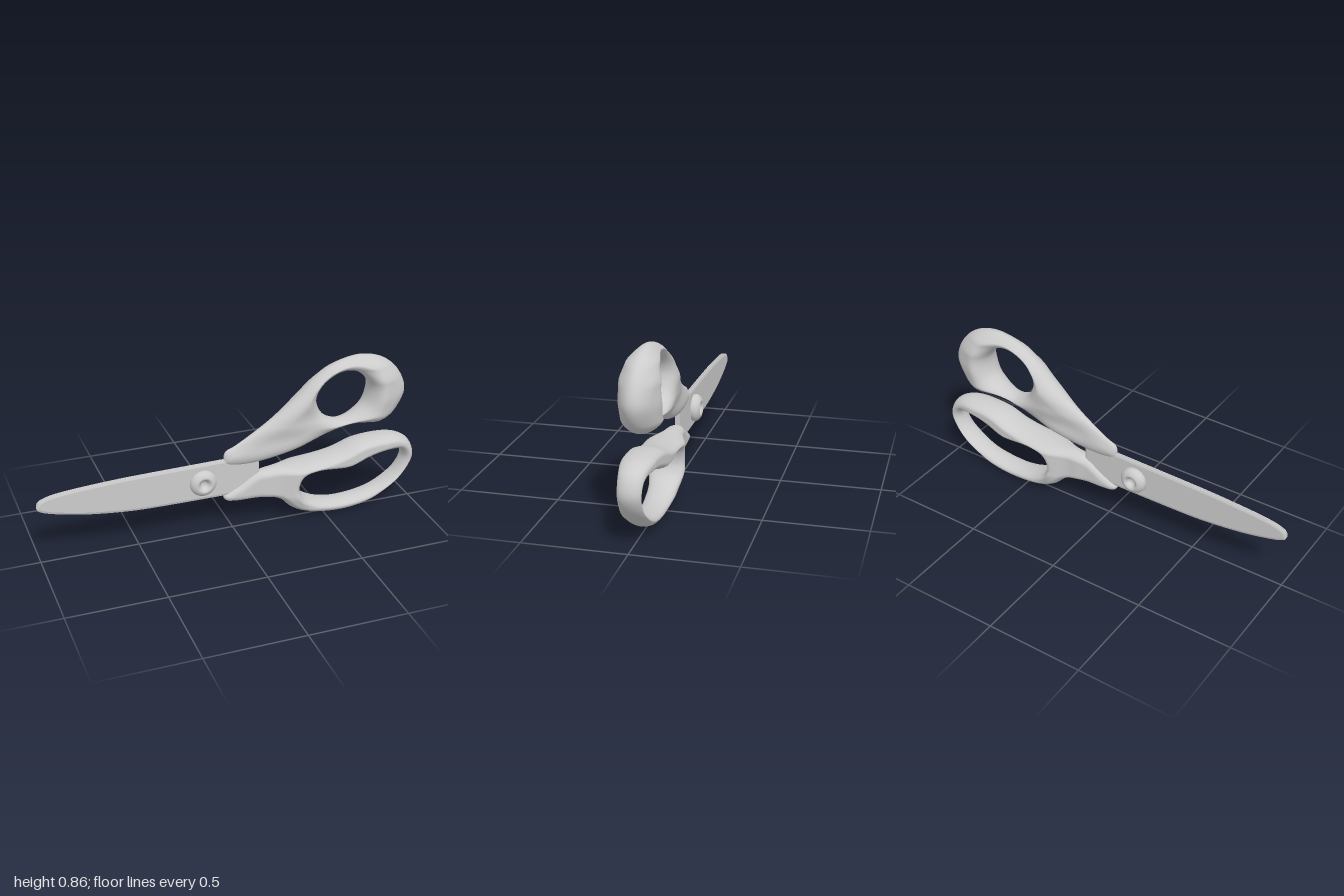
import * as THREE from 'three';

const material = new THREE.MeshStandardMaterial({ color: 0xcccccc, roughness: 0.6 });

const closedCurve = (points) =>
  new THREE.CatmullRomCurve3(points.map(([x, y]) => new THREE.Vector3(x, y, 0)), true, 'centripetal');

// Lookup in [position, value] pairs, eased between the pairs
function lookup(table, x) {
  if (x <= table[0][0]) return table[0][1];
  for (let i = 1; i < table.length; i++) {
    const [x0, v0] = table[i - 1], [x1, v1] = table[i];
    if (x <= x1) return v0 + (v1 - v0) * THREE.MathUtils.smoothstep(x, x0, x1);
  }
  return table[table.length - 1][1];
}

// Distance from a point to a closed polyline
function edgeDistance(x, y, loop) {
  let best = Infinity;
  for (let i = 0; i < loop.length; i++) {
    const a = loop[i], b = loop[(i + 1) % loop.length];
    const dx = b.x - a.x, dy = b.y - a.y;
    const t = THREE.MathUtils.clamp(((x - a.x) * dx + (y - a.y) * dy) / (dx * dx + dy * dy || 1), 0, 1);
    best = Math.min(best, Math.hypot(x - a.x - t * dx, y - a.y - t * dy));
  }
  return best;
}

// Moulded handle: the area between outline and finger hole, swelled by its distance from the edges.
// thickness varies along x, taper scales it along y, scoop hollows the front by [x, y, radius, depth]
function moulded(name, { outline, hole, centre, thickness, taper, round, scoop }) {
  const N = 220, M = 26;
  const outer = closedCurve(outline).getSpacedPoints(N).slice(0, N);
  if (THREE.ShapeUtils.area(outer) < 0) outer.reverse();
  const holeLoop = closedCurve(hole).getSpacedPoints(1500);
  const angle = (p) => Math.atan2(p.y - centre[1], p.x - centre[0]);
  const holeAngles = holeLoop.map(angle);

  // Hole point on the same ray as each outline point
  const inner = outer.map((p) => {
    const a = angle(p);
    let best = 0, gap = Infinity;
    holeAngles.forEach((b, k) => {
      const d = 1 - Math.cos(a - b);
      if (d < gap) { gap = d; best = k; }
    });
    return holeLoop[best];
  });
  const coarseHole = holeLoop.filter((p, k) => k % 10 === 0 && k < 1500);

  const positions = [], index = [], ring = 2 * M;
  for (let i = 0; i < N; i++) {
    const section = [];
    for (let j = 0; j <= M; j++) {
      const s = 0.5 - 0.5 * Math.cos((Math.PI * j) / M);
      const x = THREE.MathUtils.lerp(inner[i].x, outer[i].x, s);
      const y = THREE.MathUtils.lerp(inner[i].y, outer[i].y, s);
      const d = j === 0 || j === M ? 0 : Math.min(edgeDistance(x, y, outer), edgeDistance(x, y, coarseHole));
      const k = 1 - Math.min(1, d / round);
      section.push([x, y, lookup(thickness, x) * lookup(taper, y) * Math.sqrt(1 - k * k)]);
    }
    for (const [x, y, z] of section) {
      const hollow = scoop ? scoop[3] * Math.exp(-(((x - scoop[0]) ** 2 + (y - scoop[1]) ** 2) / scoop[2] ** 2)) : 0;
      positions.push(x, y, z * (1 - hollow));
    }
    for (let j = M - 1; j > 0; j--) positions.push(section[j][0], section[j][1], -section[j][2]);
    for (let j = 0; j < ring; j++) {
      const a = i * ring + j, b = i * ring + ((j + 1) % ring);
      const n = ((i + 1) % N) * ring;
      const c = n + j, d = n + ((j + 1) % ring);
      index.push(a, b, c, b, d, c);
    }
  }
  const geometry = new THREE.BufferGeometry();
  geometry.setAttribute('position', new THREE.Float32BufferAttribute(positions, 3));
  geometry.setIndex(index);
  geometry.computeVertexNormals();
  const mesh = new THREE.Mesh(geometry, material);
  mesh.name = name;
  return mesh;
}

// Ground blade with thin edges, a rounded tip and a tang reaching into a handle
function blade(name, z, tang) {
  const shape = new THREE.Shape();
  shape.moveTo(0.0, 0.2);
  shape.lineTo(-0.28, 0.2);
  shape.splineThru([[-0.52, 0.205], [-0.74, 0.228], [-0.9, 0.26], [-0.985, 0.288], [-1, 0.315],
    [-0.975, 0.347], [-0.87, 0.37], [-0.6, 0.388], [-0.3, 0.395]].map((p) => new THREE.Vector2(...p)));
  shape.lineTo(-0.02, 0.4);
  tang.forEach((p) => shape.lineTo(...p));
  shape.closePath();
  const geometry = new THREE.ExtrudeGeometry(shape, {
    depth: 0.004, bevelEnabled: true, bevelThickness: 0.004, bevelSize: 0.012, bevelOffset: -0.012,
    bevelSegments: 1, curveSegments: 40,
  });
  const mesh = new THREE.Mesh(geometry, material);
  mesh.position.z = z;
  mesh.name = name;
  return mesh;
}

// Round pivot screw with a dimple in each head
function pivotScrew() {
  const half = [[0, 0.024], [0.014, 0.027], [0.022, 0.036], [0.03, 0.046], [0.04, 0.05], [0.052, 0.045],
    [0.062, 0.036], [0.069, 0.024], [0.069, 0.012]];
  const profile = [...half.map(([r, y]) => [r, -y]), ...half.reverse()];
  const curve = new THREE.SplineCurve(profile.map((p) => new THREE.Vector2(...p)));
  const points = curve.getPoints(72).map((p) => new THREE.Vector2(Math.max(0, p.x), p.y));
  const mesh = new THREE.Mesh(new THREE.LatheGeometry(points, 40), material);
  mesh.rotation.x = Math.PI / 2;
  mesh.position.set(-0.16, 0.295, -0.005);
  mesh.name = 'pivotScrew';
  return mesh;
}

export function createModel() {
  const group = new THREE.Group();
  group.name = 'scissors';

  group.add(
    blade('frontBlade', 0.004, [[0.1, 0.4], [0.14, 0.37], [0.14, 0.25]]),
    blade('backBlade', -0.009, [[0.1, 0.41], [0.14, 0.37], [0.14, 0.23]]),
    pivotScrew(),
    moulded('thumbHandle', {
      outline: [[-0.04, 0.44], [-0.045, 0.385], [-0.02, 0.368], [0.13, 0.36], [0.33, 0.4], [0.545, 0.475],
        [0.65, 0.495], [0.79, 0.487], [0.875, 0.535], [0.93, 0.645], [0.895, 0.75], [0.81, 0.83],
        [0.68, 0.865], [0.545, 0.84], [0.44, 0.78], [0.33, 0.68], [0.25, 0.615], [0.13, 0.535], [0.01, 0.465]],
      hole: [[0.44, 0.67], [0.47, 0.735], [0.57, 0.79], [0.66, 0.78], [0.73, 0.7], [0.715, 0.605],
        [0.65, 0.55], [0.57, 0.53], [0.5, 0.555], [0.46, 0.6]],
      centre: [0.59, 0.66],
      thickness: [[-0.05, 0.032], [0.12, 0.04], [0.38, 0.075], [0.55, 0.088], [0.75, 0.107], [0.93, 0.06]],
      taper: [[0.38, 0.9], [0.47, 0.72], [0.55, 0.9], [0.64, 1], [0.72, 0.95], [0.8, 0.73], [0.865, 0.5]],
      round: 0.07,
      scoop: [0.42, 0.58, 0.09, 0.35],
    }),
    moulded('fingerHandle', {
      outline: [[-0.05, 0.19], [-0.035, 0.167], [0.01, 0.158], [0.17, 0.152], [0.25, 0.13], [0.315, 0.07],
        [0.44, 0.02], [0.6, 0.002], [0.76, 0.03], [0.89, 0.11], [0.975, 0.2], [1, 0.27], [0.97, 0.35],
        [0.91, 0.388], [0.81, 0.4], [0.68, 0.388], [0.57, 0.35], [0.465, 0.33], [0.33, 0.318],
        [0.2, 0.312], [0.13, 0.3], [0.04, 0.245]],
      hole: [[0.35, 0.19], [0.37, 0.25], [0.44, 0.268], [0.62, 0.26], [0.73, 0.295], [0.84, 0.315],
        [0.92, 0.305], [0.945, 0.26], [0.91, 0.18], [0.82, 0.115], [0.68, 0.075], [0.545, 0.07],
        [0.43, 0.1], [0.37, 0.14]],
      centre: [0.6, 0.18],
      thickness: [[-0.05, 0.03], [0.1, 0.035], [0.2, 0.05], [0.36, 0.094], [0.6, 0.088], [0.8, 0.078], [1, 0.056]],
      taper: [[0, 0.62], [0.06, 0.75], [0.16, 1], [0.4, 1]],
      round: 0.034,
    }),
  );
  return group;
}
